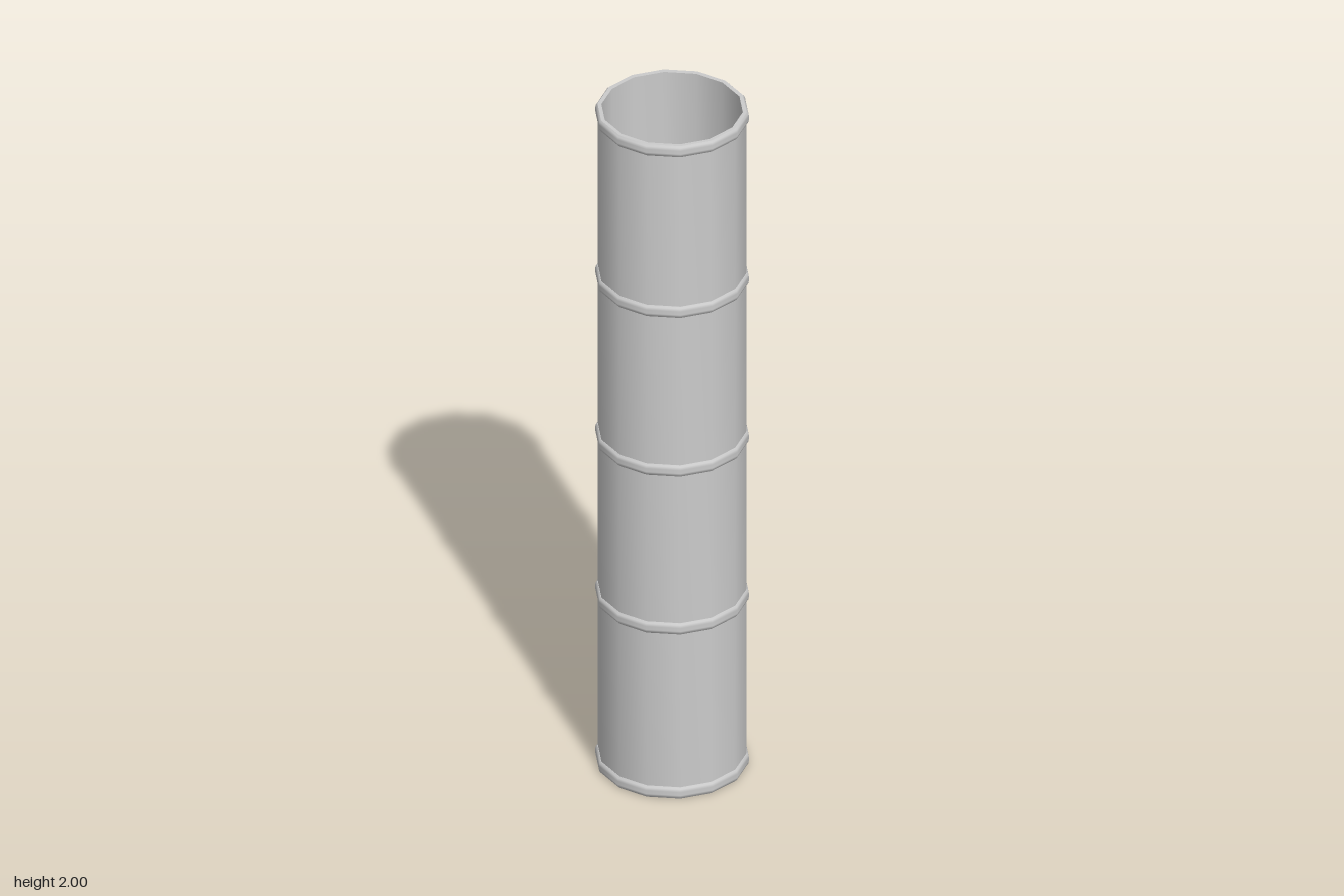
import * as THREE from 'three';
import { toCreasedNormals } from 'three/addons/utils/BufferGeometryUtils.js';

const SIDES = 14;
const INNER = 0.188, WALL = 0.197, RING = 0.204;
const RING_HEIGHT = 0.034;

// Revolves [radius, y] points into a 14-sided shape with corners on the x axis
function revolve(points) {
  const profile = points.map(([r, y]) => new THREE.Vector2(r, y));
  return toCreasedNormals(new THREE.LatheGeometry(profile, SIDES, Math.PI / 2), 0.8);
}

export function createModel() {
  const group = new THREE.Group();
  const material = new THREE.MeshStandardMaterial({ color: 0xcccccc, side: THREE.DoubleSide });
  const add = (name, geometry, y = 0) => {
    const mesh = new THREE.Mesh(geometry, material);
    mesh.name = name;
    mesh.position.y = y;
    group.add(mesh);
  };

  // Hollow pipe, open at both ends
  const end = 0.002;
  add('pipeWall', revolve([
    [INNER, end], [WALL, end], [WALL, 2 - end], [INNER, 2 - end], [INNER, end],
  ]));

  // Rounded bands around the pipe
  const h = RING_HEIGHT / 2;
  const band = revolve([
    [INNER, -h], [0.198, -h], [0.202, -h * 0.75], [RING, -h * 0.3],
    [RING, h * 0.3], [0.202, h * 0.75], [0.198, h], [INNER, h],
  ]);
  const names = ['bottomBand', 'lowerBand', 'middleBand', 'upperBand', 'topBand'];
  [h, 0.52, 1.004, 1.49, 2 - h].forEach((y, i) => add(names[i], band, y));

  return group;
}
